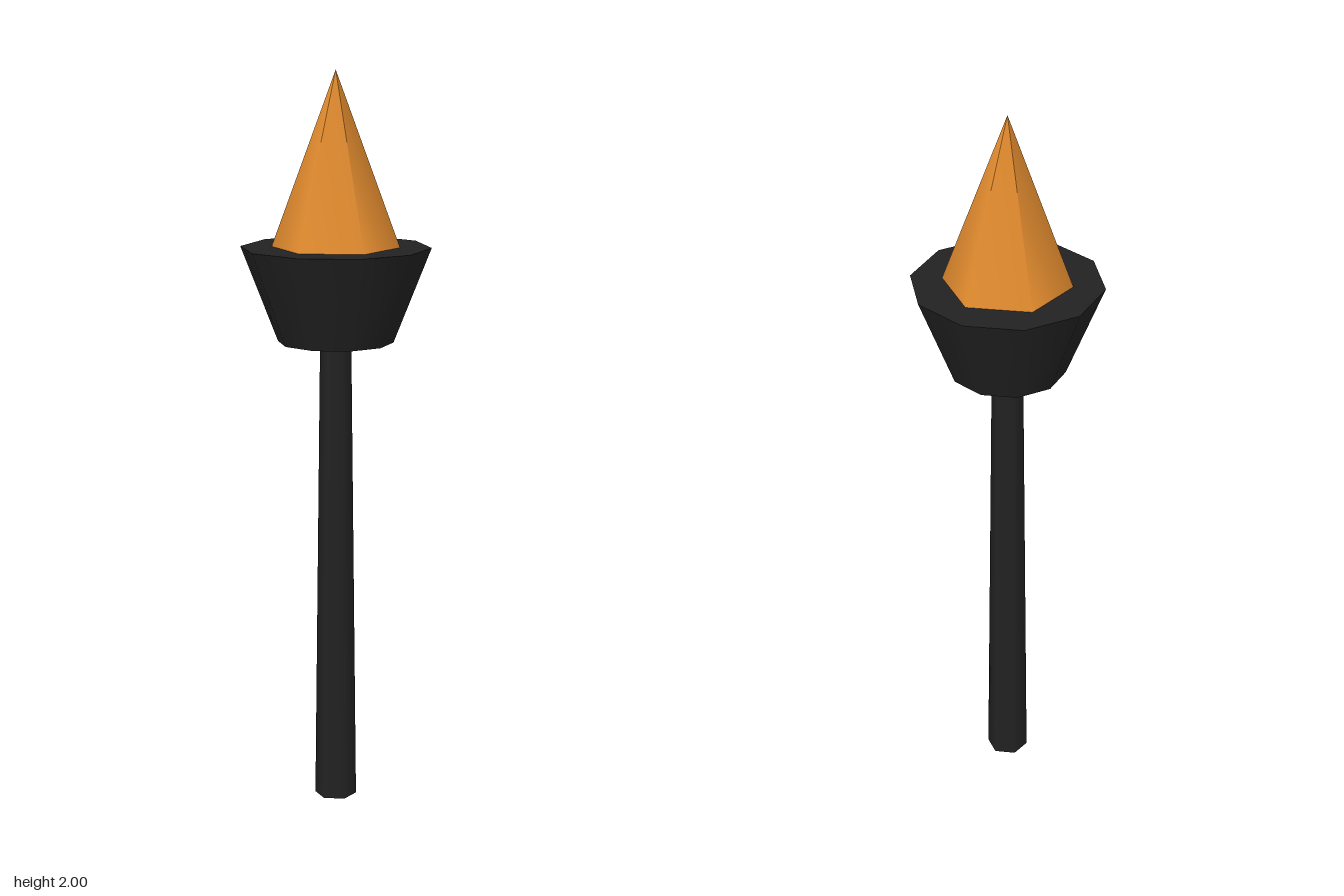
import * as THREE from 'three';

export function createModel() {
  const model = new THREE.Group();
  const iron = new THREE.MeshStandardMaterial({ color: 0x222222 });
  iron.name = 'black iron';
  const fire = new THREE.MeshStandardMaterial({ color: 0xe08a2e });
  fire.name = 'flame orange';

  // Tapered round part standing on height y0, with a corner on the x axis
  function addTaper(name, material, topRadius, bottomRadius, y0, y1, sides) {
    const geometry = new THREE.CylinderGeometry(
      topRadius, bottomRadius, y1 - y0, sides, 1, false, Math.PI / 2);
    const mesh = new THREE.Mesh(geometry, material);
    mesh.name = name;
    mesh.position.y = (y0 + y1) / 2;
    model.add(mesh);
  }

  addTaper('pole', iron, 0.042, 0.057, 0, 1.28, 6);
  addTaper('bowl', iron, 0.255, 0.155, 1.28, 1.535, 10);
  addTaper('flame', fire, 0, 0.171, 1.535, 2, 6);

  return model;
}
